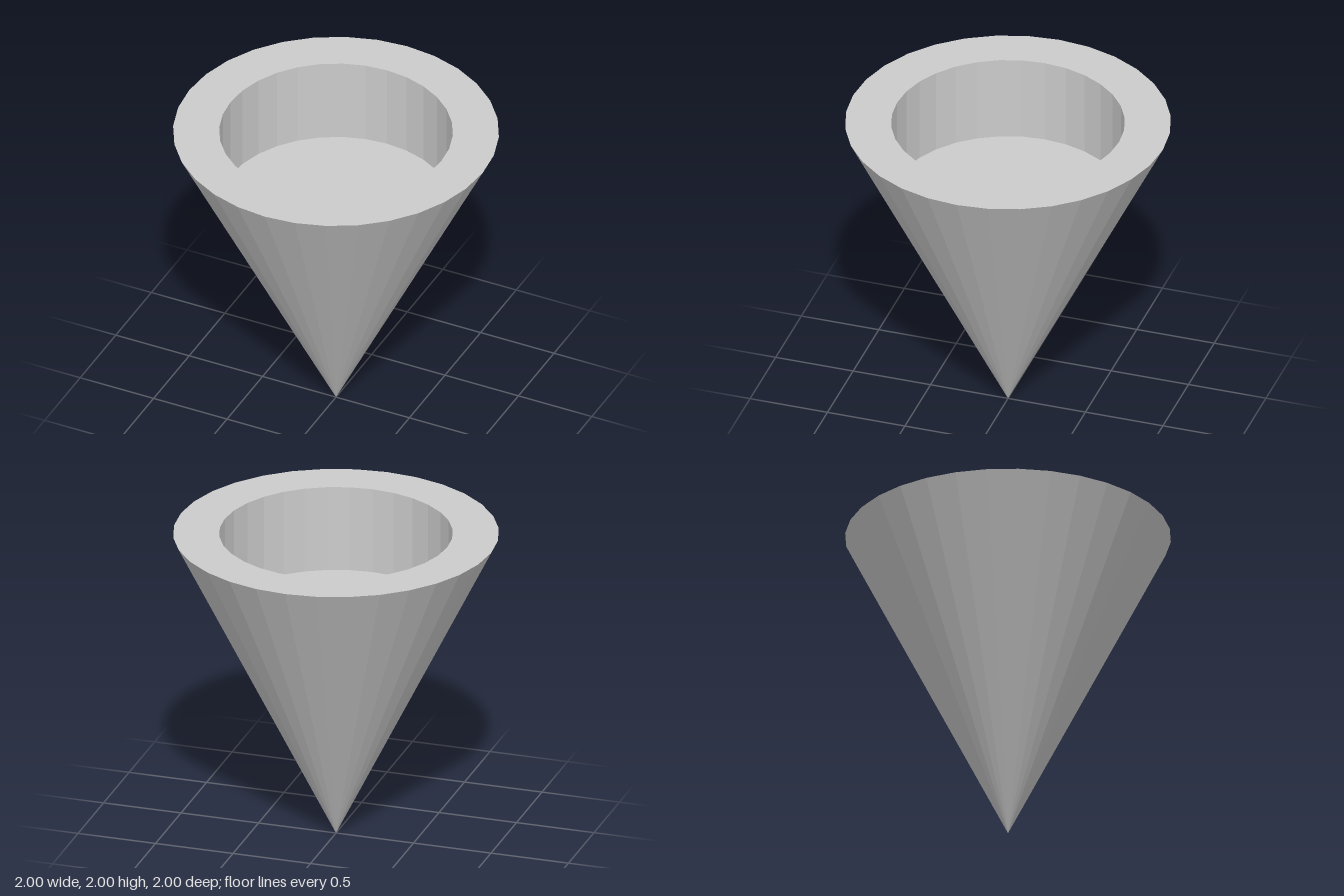
import * as THREE from 'three';

const SIDES = 32;
const RIM_Y = 2, RIM_R = 1;
const WELL_R = 0.717, FLOOR_Y = 1.448;

export function createModel() {
  const model = new THREE.Group();
  model.name = 'hollowCone';
  const material = new THREE.MeshStandardMaterial({ color: 0xcccccc, flatShading: true });

  // Revolve a profile of [radius, height] points around the y axis
  const addRevolved = (name, profile) => {
    const points = profile.map(([r, y]) => new THREE.Vector2(r, y));
    const mesh = new THREE.Mesh(new THREE.LatheGeometry(points, SIDES), material);
    mesh.name = name;
    model.add(mesh);
  };

  // Outer cone, tip down
  addRevolved('coneShell', [[0, 0], [RIM_R, RIM_Y]]);
  // Flat ring around the opening
  addRevolved('rim', [[RIM_R, RIM_Y], [WELL_R, RIM_Y]]);
  // Straight-walled recess and its flat floor
  addRevolved('wellWall', [[WELL_R, RIM_Y], [WELL_R, FLOOR_Y]]);
  addRevolved('wellFloor', [[WELL_R, FLOOR_Y], [0, FLOOR_Y]]);

  return model;
}
